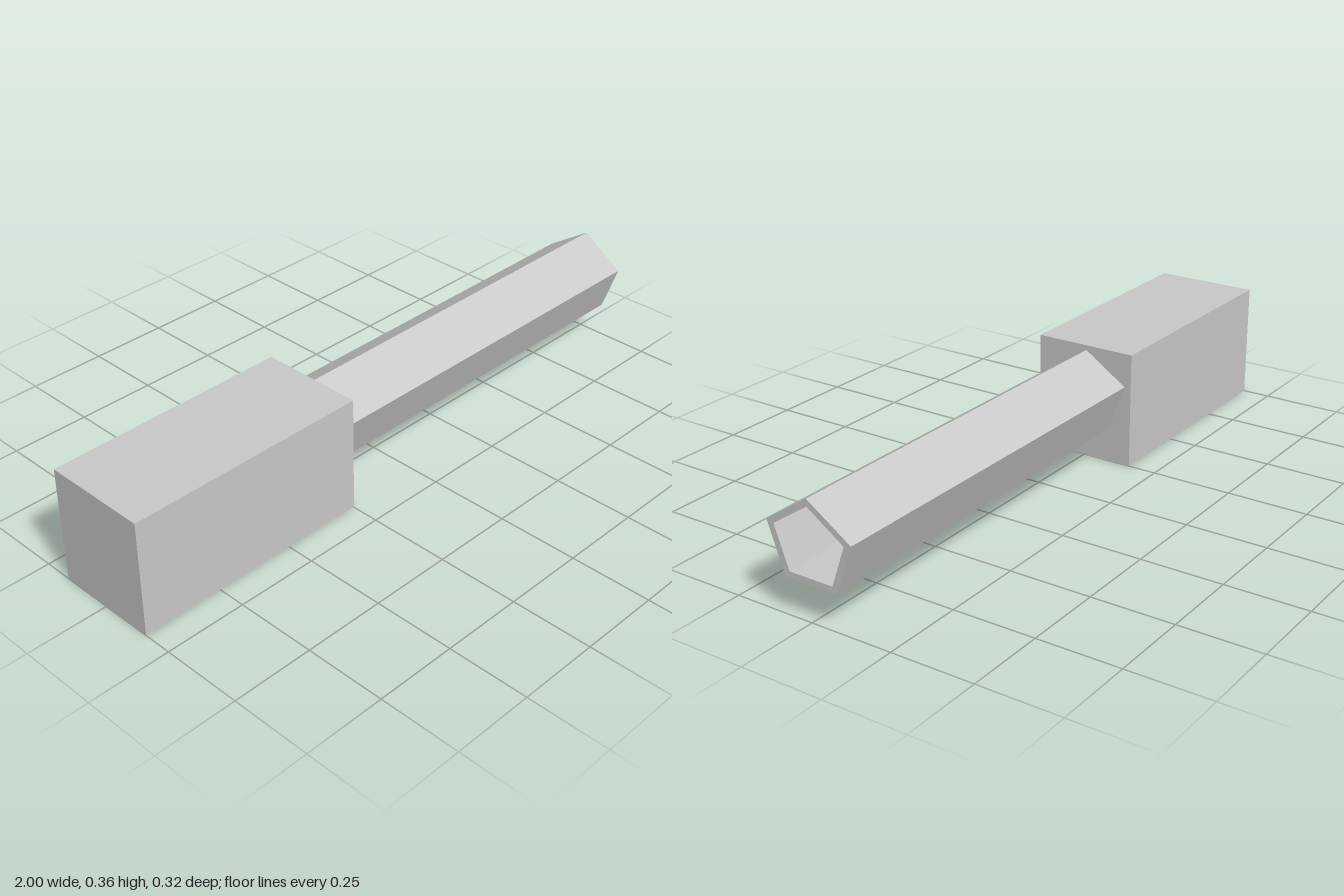
import * as THREE from 'three';

// Pentagon corners as [z, y]
const OUTER = [[-0.005, 0.343], [0.131, 0.253], [0.079, 0.107], [-0.089, 0.107], [-0.141, 0.253]];
const INNER = [[-0.005, 0.322], [0.108, 0.246], [0.065, 0.125], [-0.075, 0.125], [-0.118, 0.246]];

export function createModel() {
  const model = new THREE.Group();
  const grey = new THREE.MeshStandardMaterial({ color: 0xc8c8c8 });
  grey.name = 'light grey';

  // Solid rectangular block at the right end
  const block = new THREE.Mesh(new THREE.BoxGeometry(0.753, 0.358, 0.324), grey);
  block.name = 'block';
  block.position.set(-0.6235, 0.179, 0);
  model.add(block);

  // Hollow five-sided tube, drawn in (-z, y) and extruded along x
  const toPoints = (corners) => corners.map(([z, y]) => new THREE.Vector2(-z, y));
  const section = new THREE.Shape(toPoints(OUTER));
  section.holes.push(new THREE.Path(toPoints(INNER)));
  const tubeGeometry = new THREE.ExtrudeGeometry(section, { depth: 1.247, bevelEnabled: false });
  tubeGeometry.rotateY(Math.PI / 2);
  const tube = new THREE.Mesh(tubeGeometry, grey);
  tube.name = 'hollowTube';
  tube.position.x = -0.247;
  model.add(tube);

  return model;
}
